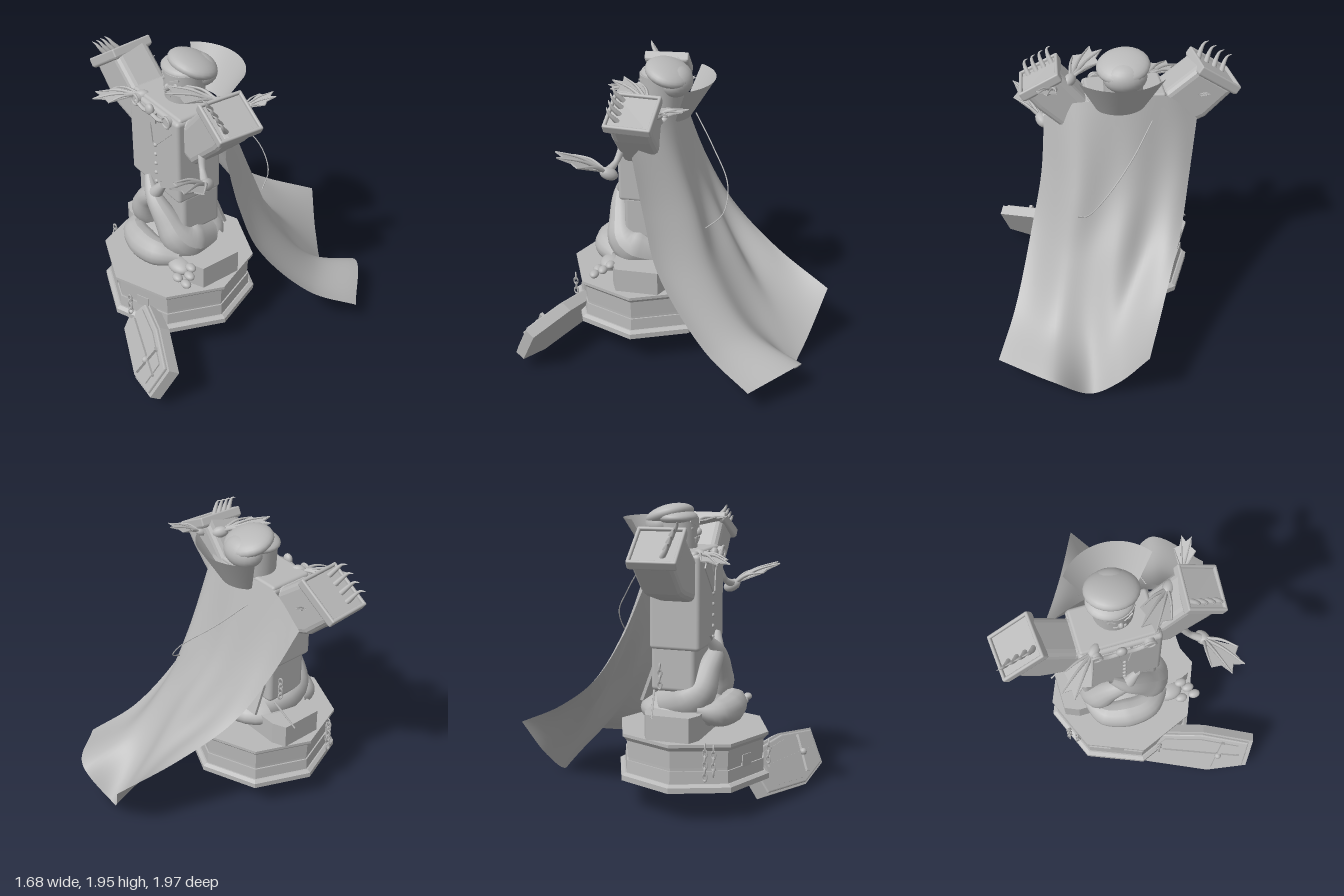
import * as THREE from 'three';
import { RoundedBoxGeometry } from 'three/addons/geometries/RoundedBoxGeometry.js';

const V = (a) => new THREE.Vector3(...a);

export function createModel() {
  const model = new THREE.Group();
  const grey = new THREE.MeshStandardMaterial({ color: 0xb8b8b8, side: THREE.DoubleSide });
  grey.name = 'plain grey';

  const add = (name, geo, pos = [0, 0, 0], rot = [0, 0, 0], scale = [1, 1, 1], parent = model) => {
    const m = new THREE.Mesh(geo, grey);
    m.name = name;
    m.position.set(...pos);
    m.rotation.set(...rot);
    m.scale.set(...scale);
    parent.add(m);
    return m;
  };
  const flat = (g) => {
    const f = g.toNonIndexed();
    f.computeVertexNormals();
    return f;
  };
  const ball = (name, pos, scale, rot) => add(name, new THREE.SphereGeometry(1, 24, 16), pos, rot, scale);
  const outline = (pts) => new THREE.Shape(pts.map(([x, y]) => new THREE.Vector2(x, y)));
  const plate = (pts, depth, bevel = 0) => new THREE.ExtrudeGeometry(outline(pts), {
    depth, bevelEnabled: bevel > 0, bevelSize: bevel, bevelThickness: bevel, bevelOffset: -bevel, bevelSegments: 3,
  });
  // Round limb whose radius follows a list along its path
  const limb = (name, pts, radii, sides = 14, parent = model) => {
    const n = 24;
    const curve = new THREE.CatmullRomCurve3(pts.map(V));
    const g = new THREE.TubeGeometry(curve, n, 1, sides);
    const p = g.attributes.position;
    const v = new THREE.Vector3();
    for (let i = 0; i < p.count; i++) {
      const t = Math.floor(i / (sides + 1)) / n;
      const f = t * (radii.length - 1);
      const k = Math.min(Math.floor(f), radii.length - 2);
      const r = THREE.MathUtils.lerp(radii[k], radii[k + 1], f - k);
      const c = curve.getPointAt(t);
      v.fromBufferAttribute(p, i).sub(c).multiplyScalar(r).add(c);
      p.setXYZ(i, v.x, v.y, v.z);
    }
    g.computeVertexNormals();
    return add(name, g, undefined, undefined, undefined, parent);
  };

  // Eight-sided pedestal: [top radius, bottom radius, low, high]
  [[0.49, 0.515, 0.235, 0.25], [0.515, 0.515, 0.2, 0.235], [0.475, 0.48, 0.25, 0.33], [0.465, 0.465, 0.33, 0.35],
    [0.475, 0.47, 0.35, 0.46], [0.5, 0.475, 0.46, 0.49], [0.505, 0.505, 0.49, 0.51]].forEach(([a, b, lo, hi]) =>
    add('pedestalTier', flat(new THREE.CylinderGeometry(a, b, hi - lo, 8)), [-0.05, (lo + hi) / 2, 0.24]));
  const bench = [[-0.4, 0.03], [0.29, 0.03], [0.38, 0.07], [0.38, 0.35], [0.29, 0.39], [-0.4, 0.39], [-0.49, 0.35], [-0.49, 0.07]];
  add('pedestalBlock', plate(bench, 0.16), [0, 0.67, 0], [Math.PI / 2, 0, 0]);
  for (const s of [-1, 1]) {
    add('pedestalPlaque', new THREE.BoxGeometry(0.09, 0.08, 0.012), [-0.05 + s * 0.16, 0.36, 0.645], [0, s * 0.39, 0]);
  }

  // Hanging chains
  [[-0.5, 0.5, 0.46, 6], [-0.45, 0.48, 0.5, 5], [0.07, 0.4, 0.72, 4], [-0.37, 0.95, 0.12, 4]].forEach(([x, y, z, n]) => {
    for (let i = 0; i < n; i++) {
      add('chainLink', new THREE.TorusGeometry(0.02, 0.006, 6, 12), [x, y - i * 0.038, z], [0, i % 2 ? 1.4 : 0.2, 0], [0.75, 1.2, 1]);
    }
  });
  limb('stake', [[-0.52, 0.66, 0.12], [-0.44, 0.73, 0.1], [-0.36, 0.8, 0.08]], [0.006, 0.008], 6);

  // Crossed lower body and folded cloth
  ball('seatedMass', [-0.08, 0.63, 0.2], [0.28, 0.12, 0.3]);
  limb('crossedLimb', [[-0.2, 0.68, 0.12], [-0.25, 0.77, 0.33], [-0.18, 0.92, 0.38], [-0.08, 1.02, 0.4], [0.0, 1.13, 0.38]], [0.12, 0.13, 0.09, 0.06, 0.025]);
  limb('crossedLimb', [[0.08, 0.66, 0.12], [0.11, 0.75, 0.34], [0.03, 0.89, 0.39], [-0.08, 1.02, 0.41], [-0.17, 1.11, 0.38]], [0.12, 0.14, 0.09, 0.06, 0.025]);
  limb('foldedShin', [[-0.33, 0.68, 0.34], [-0.24, 0.65, 0.45], [-0.1, 0.65, 0.49], [0.05, 0.66, 0.48], [0.17, 0.65, 0.38]], [0.03, 0.085, 0.1, 0.09, 0.06]);
  ball('foot', [0.22, 0.63, 0.42], [0.09, 0.045, 0.07]);
  [[0.31, 0.66, 0.4], [0.35, 0.64, 0.44], [0.38, 0.62, 0.49], [0.29, 0.61, 0.49]].forEach((p) => ball('toe', p, [0.04, 0.024, 0.03]));

  // Jacket and lower body
  add('jacket', new RoundedBoxGeometry(0.52, 0.6, 0.33, 3, 0.025), [-0.1, 1.36, 0.21]);
  add('lowerBody', new RoundedBoxGeometry(0.5, 0.3, 0.29, 3, 0.03), [-0.095, 0.94, 0.195]);
  add('coatTail', new THREE.BoxGeometry(0.42, 0.34, 0.02), [-0.09, 0.87, 0.03], [0.35, 0, 0]);
  for (const s of [-1, 1]) {
    const side = (x, y) => [-0.08 + s * x, y];
    add('lapel', plate([side(0.02, 1.4), side(0.19, 1.57), side(0.13, 1.64), side(0.05, 1.63)], 0.009), [0, 0, 0.374]);
    add('claspDisc', new THREE.CylinderGeometry(0.035, 0.035, 0.03, 16), [-0.095 + s * 0.165, 1.64, 0.38], [Math.PI / 2, 0, 0]);
    add('claspRing', new THREE.TorusGeometry(0.035, 0.008, 8, 16), [-0.095 + s * 0.165, 1.64, 0.395]);
    limb('claspCord', [[-0.1 + s * 0.15, 1.64, 0.39], [-0.1 + s * 0.08, 1.615, 0.39], [-0.1, 1.63, 0.39]], [0.014, 0.014], 8);
  }
  for (const y of [1.39, 1.32, 1.25, 1.18, 1.11]) ball('button', [-0.08, y, 0.375], [0.014, 0.014, 0.012]);
  ball('brooch', [-0.105, 1.645, 0.39], [0.035, 0.038, 0.025]);
  add('cravat', plate([[-0.15, 1.64], [-0.05, 1.64], [-0.06, 1.56], [-0.1, 1.53], [-0.12, 1.57]], 0.015), [0, 0, 0.372]);
  add('shoulderYoke', new RoundedBoxGeometry(0.5, 0.05, 0.3, 2, 0.02), [-0.1, 1.65, 0.2]);

  // Raised sleeves with rimmed cuffs and curved claws
  const arms = [
    { shape: [[-0.3, 1.66], [-0.36, 1.66], [-0.56, 1.82], [-0.81, 1.64], [-0.62, 1.45], [-0.55, 1.42], [-0.36, 1.37], [-0.3, 1.4]], a: [-0.57, 1.82], b: [-0.81, 1.655], bend: 1, z: 0.215 },
    { shape: [[0.1, 1.66], [0.16, 1.66], [0.32, 1.85], [0.56, 1.73], [0.47, 1.61], [0.23, 1.38], [0.1, 1.42]], a: [0.33, 1.85], b: [0.55, 1.73], bend: -1, z: 0.195 },
  ];
  for (const { shape, a, b, bend, z } of arms) {
    add('sleeve', plate(shape, 0.17, 0.045), [0, 0, z - 0.085]);
    const dx = b[0] - a[0], dy = b[1] - a[1], len = Math.hypot(dx, dy);
    const nx = bend * dy / len, ny = -bend * dx / len;
    const cuff = new THREE.Group();
    cuff.name = 'cuff';
    cuff.position.set((a[0] + b[0]) / 2 - nx * 0.02, (a[1] + b[1]) / 2 - ny * 0.02, z);
    cuff.rotation.set(0, bend * 0.08, Math.atan(dy / dx));
    model.add(cuff);
    const w = len + 0.03;
    add('cuffBase', new RoundedBoxGeometry(w, 0.05, 0.3, 2, 0.02), [0, -0.005, 0], undefined, undefined, cuff);
    for (const s of [-1, 1]) {
      add('cuffRim', new RoundedBoxGeometry(0.022, 0.06, 0.3, 2, 0.01), [s * (w / 2 - 0.011), 0.01, 0], undefined, undefined, cuff);
      add('cuffRim', new RoundedBoxGeometry(w, 0.06, 0.022, 2, 0.01), [0, 0.01, s * 0.139], undefined, undefined, cuff);
    }
    for (let i = 0; i < 4; i++) {
      const t = 0.1 + i * 0.22;
      const x = a[0] + dx * t, y = a[1] + dy * t;
      limb('claw', [[x, y - 0.01, 0.27], [x + nx * 0.05, y + ny * 0.05, 0.31], [x + nx * 0.07 - 0.01, y + ny * 0.07 + 0.01, 0.325],
        [x + nx * 0.08 - 0.035, y + ny * 0.08 + 0.01, 0.335]], [0.018, 0.015, 0.01, 0.002], 8);
    }
  }

  // Head, face and soft drooping cap
  add('head', new THREE.CylinderGeometry(0.135, 0.125, 0.2, 28), [-0.085, 1.765, 0.14]);
  add('neck', new THREE.CylinderGeometry(0.09, 0.11, 0.08, 20), [-0.085, 1.67, 0.15]);
  ball('cap', [-0.075, 1.875, 0.085], [0.17, 0.065, 0.155], [-0.3, 0, -0.12]);
  ball('capBrim', [-0.1, 1.865, 0.14], [0.15, 0.05, 0.13]);
  ball('capFold', [-0.08, 1.82, 0.04], [0.14, 0.1, 0.11]);
  ball('nose', [-0.075, 1.775, 0.275], [0.018, 0.025, 0.02]);
  for (const s of [-1, 1]) {
    const x = -0.08 + s * 0.055;
    ball('eye', [x, 1.8, 0.25], [0.02, 0.017, 0.012]);
    add('brow', new THREE.BoxGeometry(0.065, 0.012, 0.02), [x, 1.832, 0.255], [0, s * 0.4, s * 0.35]);
    add('fang', new THREE.ConeGeometry(0.01, 0.03, 8), [-0.08 + s * 0.025, 1.72, 0.267], [Math.PI, 0, 0]);
  }
  add('mouth', new THREE.BoxGeometry(0.08, 0.01, 0.012), [-0.08, 1.74, 0.268]);

  // Tall flared collar
  add('collar', new THREE.CylinderGeometry(0.335, 0.18, 0.25, 24, 2, true, Math.PI - 0.95, 1.9), [-0.05, 1.735, 0.115]);

  // Sweeping cape lofted through five cross-sections
  const rows = [
    [[-0.56, 1.46, 0.08], [-0.34, 1.66, 0.05], [-0.05, 1.67, 0.0], [0.24, 1.65, 0.06], [0.42, 1.49, 0.21]],
    [[-0.49, 1.15, -0.08], [-0.25, 1.12, -0.15], [0, 1.1, -0.16], [0.27, 1.1, -0.13], [0.46, 1.1, 0.13]],
    [[-0.4, 0.85, -0.3], [-0.15, 0.77, -0.34], [0.1, 0.72, -0.36], [0.37, 0.69, -0.26], [0.54, 0.77, 0.03]],
    [[-0.25, 0.61, -0.62], [0, 0.45, -0.62], [0.2, 0.32, -0.58], [0.46, 0.34, -0.53], [0.7, 0.34, -0.3]],
    [[-0.08, 0.42, -1], [0.1, 0.14, -0.9], [0.27, 0, -0.83], [0.52, 0.2, -0.89], [0.84, 0.16, -0.6]],
  ].map((r) => new THREE.CatmullRomCurve3(r.map(V)));
  const cape = new THREE.PlaneGeometry(1, 1, 40, 40);
  for (let i = 0; i <= 40; i++) {
    const column = new THREE.CatmullRomCurve3(rows.map((r) => r.getPoint(i / 40)));
    for (let j = 0; j <= 40; j++) {
      const p = column.getPoint(j / 40);
      const fold = Math.sin(i / 40 * Math.PI * 6) * 0.015 * Math.sin(j / 40 * Math.PI);
      cape.attributes.position.setXYZ(j * 41 + i, p.x, p.y + fold * 0.7, p.z - fold);
    }
  }
  cape.computeVertexNormals();
  add('cape', cape);
  limb('capeCord', [[-0.24, 1.55, -0.06], [-0.1, 1.38, -0.2], [0.08, 1.2, -0.33], [0.2, 1.05, -0.32], [0.26, 0.97, -0.22]], [0.004, 0.004], 6);

  // Coffin leaning back, with raised lid and cross
  const coffin = new THREE.Group();
  coffin.name = 'coffin';
  coffin.position.set(-0.03, 0.025, 0.74);
  coffin.rotation.set(-0.5, -0.4, 0, 'YXZ');
  model.add(coffin);
  const hex = [[-0.05, 0.24], [0.04, 0.355], [0.38, 0.4], [0.73, 0.365], [0.71, 0.11], [0.45, 0.015], [0, 0.04]];
  const shrink = (k) => hex.map(([x, y]) => [0.36 + (x - 0.36) * k, 0.2 + (y - 0.2) * k]);
  const inCoffin = (name, geo, pos, rot) => add(name, geo, pos, rot, [1, 1, 1], coffin);
  inCoffin('coffinBody', plate(hex, 0.07), [0, 0, -0.07]);
  inCoffin('coffinLid', plate(shrink(0.92), 0.02, 0.01), [0, 0, -0.01]);
  inCoffin('coffinPanel', plate(shrink(0.74), 0.009), [0, 0, 0.02]);
  inCoffin('crossBeam', new THREE.BoxGeometry(0.022, 0.26, 0.024), [0.5, 0.22, 0.036], [0, 0, -0.2]);
  inCoffin('crossStem', new THREE.BoxGeometry(0.54, 0.016, 0.02), [0.38, 0.225, 0.034], [0, 0, 0.03]);
  inCoffin('crossBoss', new THREE.SphereGeometry(0.024, 12, 8), [0.5, 0.225, 0.044]);

  // Small webbed wings lying nearly flat: root, direction, size
  const web = [[0, 0], [-0.065, 0.13], [-0.035, 0.15], [-0.03, 0.21], [0, 0.18], [0.03, 0.21], [0.035, 0.15], [0.065, 0.13]];
  [[[-0.27, 1.65, 0.35], [-0.2, -0.03, 0.2], 1.4], [[0.25, 1.78, 0.14], [-0.2, 0.08, 0.25], 1.5],
    [[0.43, 1.38, 0.37], [0.12, 0.15, 0.3], 1.6], [[0.37, 1.76, 0.05], [0.08, 0.07, -0.18], 1.0],
    [[-0.57, 1.62, 0.1], [-0.1, 0.1, -0.2], 0.5]].forEach(([root, direction, size]) => {
    const y = V(direction).normalize();
    const x = new THREE.Vector3().crossVectors(y, new THREE.Vector3(0, 1, 0)).normalize();
    const wing = new THREE.Group();
    wing.name = 'webbedWing';
    wing.quaternion.setFromRotationMatrix(new THREE.Matrix4().makeBasis(x, y, x.clone().cross(y)));
    wing.position.set(...root);
    wing.scale.setScalar(size);
    model.add(wing);
    add('wingWeb', plate(web, 0.006), undefined, undefined, undefined, wing);
    for (const k of [1, 3, 5, 7]) {
      limb('wingRib', [[0, 0, 0.003], [web[k][0] * 0.55, web[k][1] * 0.5, 0.018], [...web[k], 0.003]], [0.009, 0.003], 6, wing);
    }
    add('wingBody', new THREE.SphereGeometry(0.025, 14, 10), [0, -0.01, 0], undefined, [1, 1.5, 1], wing);
  });
  limb('wingArm', [[0.3, 1.5, 0.3], [0.35, 1.42, 0.33], [0.43, 1.38, 0.37]], [0.025, 0.02, 0.03], 10);

  return model;
}
